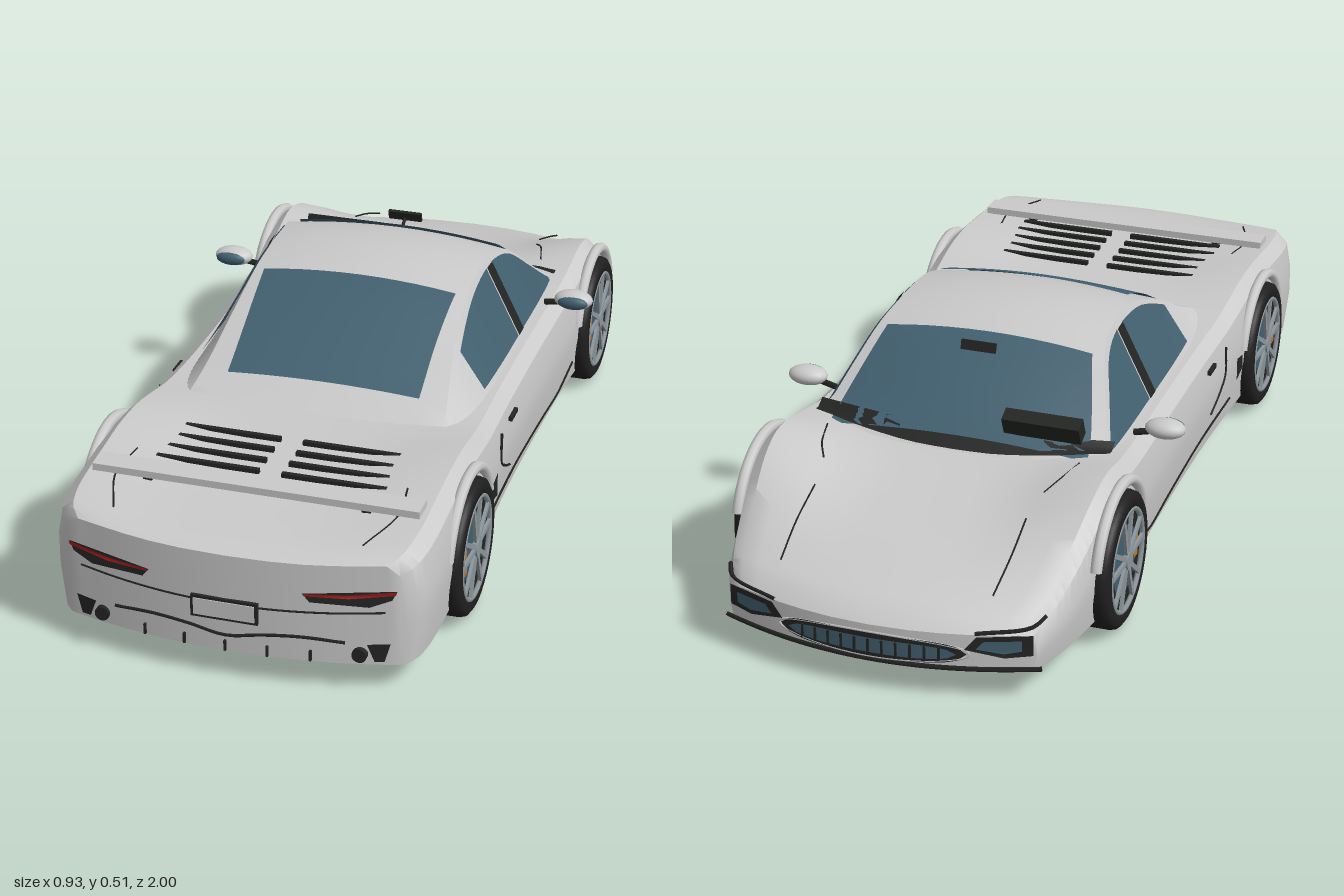
import * as THREE from 'three';
import { mergeGeometries, toCreasedNormals } from 'three/addons/utils/BufferGeometryUtils.js';

const mat = (name, color, side = THREE.FrontSide) =>
  Object.assign(new THREE.MeshStandardMaterial({ color, side }), { name });

// Stations along z: [z, half width, shoulder height, centre height, bow of the ends]
const BODY = [
  [-1, .34, .15, .15, .07], [-.97, .355, .175, .178, .07], [-.9, .375, .207, .205, .06],
  [-.8, .393, .26, .238, .045], [-.7, .405, .312, .266, .025], [-.62, .41, .338, .285, .01],
  [-.55, .41, .343, .3, 0], [-.46, .407, .327, .308, 0], [-.35, .4, .31, .31, 0],
  [-.1, .394, .305, .31, 0], [.15, .394, .305, .31, 0], [.33, .4, .312, .314, 0],
  [.42, .405, .327, .316, 0], [.5, .408, .34, .317, 0], [.6, .41, .343, .317, 0],
  [.7, .41, .335, .317, 0], [.8, .41, .326, .312, -.01], [.88, .406, .32, .308, -.025],
  [.95, .393, .31, .302, -.045], [.985, .37, .298, .292, -.055]];
// [z, centre height, roof edge height, roof edge half width]
const CABIN = [
  [-.5, .303, .295, .335], [-.42, .368, .33, .322], [-.33, .433, .4, .293], [-.25, .484, .462, .265],
  [-.17, .505, .485, .251], [-.08, .51, .489, .248], [.02, .497, .477, .25], [.1, .47, .45, .255],
  [.2, .42, .405, .265], [.3, .365, .35, .28], [.41, .306, .3, .3]];
const FLOOR = .065;
const U = [0, .25, .45, .62, .78, .9, .97, 1];
const K = [0, 0, .1, .45, .85, 1];

// Smooth interpolation between stations
function sample(table, z) {
  let i = 0;
  while (i < table.length - 2 && z > table[i + 1][0]) i++;
  const a = table[i], b = table[i + 1], p = table[i - 1] || a, n = table[i + 2] || b;
  const d = b[0] - a[0], t = THREE.MathUtils.clamp((z - a[0]) / d, 0, 1);
  return a.map((v, k) => {
    const m0 = (b[k] - p[k]) / (b[0] - p[0]) * d, m1 = (n[k] - v) / (n[0] - a[0]) * d;
    return v + t * m0 + t * t * (3 * (b[k] - v) - 2 * m0 - m1) + t * t * t * (2 * (v - b[k]) + m0 + m1);
  });
}

// Grid surface; columns toward +x and rows toward +z face up
function grid(cols, rows, f, closed = false) {
  const pos = [], idx = [], n = cols + (closed ? 0 : 1);
  for (let j = 0; j <= rows; j++) for (let i = 0; i < n; i++) pos.push(...f(i, j));
  for (let j = 0; j < rows; j++) for (let i = 0; i < cols; i++) {
    const a = j * n + i, b = j * n + (i + 1) % n, c = b + n, d = a + n;
    idx.push(a, d, c, a, c, b);
  }
  const g = new THREE.BufferGeometry();
  g.setAttribute('position', new THREE.Float32BufferAttribute(pos, 3));
  g.setIndex(idx);
  g.computeVertexNormals();
  return g;
}

// Body section: index -7..7 across, on the top or the underside
function bodyPoint(k, under, station) {
  const [z, w, ys, yc, bow] = station, a = Math.abs(k), h = ys - FLOOR, u = U[a] * Math.sign(k);
  let y = a < 6 ? yc + (ys - yc) * K[a] : ys - h * (a === 6 ? .1 : .35);
  if (under) y = a === 7 ? FLOOR + .4 * h : FLOOR;
  return [u * w, y, z + bow * u * u];
}
function bodyTop(x, z) {
  const [, w, ys, yc] = sample(BODY, z), u = Math.min(Math.abs(x) / w, .89);
  const i = U.findIndex((v) => v > u), t = (u - U[i - 1]) / (U[i] - U[i - 1]);
  return yc + (ys - yc) * (K[i - 1] + (K[i] - K[i - 1]) * t);
}
const bodySide = (y, z) => sample(BODY, z)[1] * (y < .16 ? .97 + .03 * (y - FLOOR) / .095 : 1);
const cabinTop = (x, z) => {
  const [, yc, yk, xk] = sample(CABIN, z);
  return yk + (yc - yk) * (1 - (x / xk) ** 2);
};
const tailZ = (x) => .985 - .4 * x * x;
const noseZ = (x) => -1 + .6 * x * x;

export function createModel() {
  const car = new THREE.Group();
  car.name = 'sportsCar';
  const paint = mat('silverPaint', 0xcacaca), glass = mat('tintedGlass', 0x426070, THREE.DoubleSide);
  const dark = mat('blackTrim', 0x232523, THREE.DoubleSide), rubber = mat('rubber', 0x202020);
  const alloy = mat('alloy', 0x8d979c), red = mat('redLamp', 0xa01c1c, THREE.DoubleSide);
  const orange = mat('orangeCaliper', 0xc47a24);

  const add = (name, geo, m, parent = car, p = [0, 0, 0]) => {
    const mesh = new THREE.Mesh(geo, m);
    mesh.name = name;
    mesh.position.set(...p);
    parent.add(mesh);
    return mesh;
  };
  const box = (name, s, p, m, parent) => add(name, new THREE.BoxGeometry(...s), m, parent, p);
  const line = (name, pts, r = .003, m = dark) => add(name, new THREE.TubeGeometry(
    new THREE.CatmullRomCurve3(pts.map((p) => new THREE.Vector3(...p))), pts.length * 4, r, 4), m);
  // Flat outline laid on a curved end of the body
  const plate = (name, pts, zAt, off, m) => {
    const g = new THREE.ShapeGeometry(new THREE.Shape(pts.map((p) => new THREE.Vector2(...p))));
    const a = g.attributes.position;
    for (let i = 0; i < a.count; i++) a.setZ(i, zAt(a.getX(i)) + off);
    g.computeVertexNormals();
    add(name, g, m);
  };

  // Body shell with both end caps
  const rows = 70, first = BODY[0], last = BODY[BODY.length - 1];
  const shell = grid(30, rows, (i, j) => bodyPoint(i < 15 ? i - 7 : 22 - i, i >= 15,
    sample(BODY, -1 + 1.985 * j / rows)), true);
  const tail = grid(14, 1, (i, j) => bodyPoint(i - 7, j === 1, last));
  const nose = grid(14, 1, (i, j) => bodyPoint(i - 7, j === 0, first));
  add('body', toCreasedNormals(mergeGeometries([shell, tail, nose]), .6), paint);

  // Cabin shell
  add('cabin', toCreasedNormals(grid(12, 44, (i, j) => {
    const z = -.5 + .91 * j / 44, [, , , xk] = sample(CABIN, z);
    if (i === 0 || i === 12) return [(i ? 1 : -1) * .35, .285, z];
    const x = xk * (i - 6) / 5;
    return [x, cabinTop(x, z), z];
  }), .5), paint);

  // Windscreen and rear window
  const topGlass = (name, z0, z1, u0, u1) => add(name, grid(10, 12, (i, j) => {
    const t = j / 12, z = z0 + (z1 - z0) * t;
    const x = (i / 5 - 1) * (u0 + (u1 - u0) * t) * sample(CABIN, z)[3];
    return [x, cabinTop(x, z) + .005, z + (z < -.2 ? -.003 : .002)];
  }), glass);
  topGlass('windscreen', -.47, -.255, .9, .9);
  topGlass('rearWindow', .045, .32, .9, .78);

  // Black cowl below the windscreen
  add('cowl', grid(16, 3, (i, j) => {
    const u = i / 8 - 1, x = u * .34, z = -.5 + .055 * u * u + j * .013;
    return [x, Math.max(cabinTop(x, z), bodyTop(x, z)) + .007, z];
  }), dark);

  for (const s of [-1, 1]) {
    const side = s > 0 ? 'left' : 'right';
    // Side windows and door pillar
    const sideGlass = (name, z0, z1, m, off) => add(name, grid(12, 2, (i, j) => {
      const z = z0 + (z1 - z0) * i / 12, [, , yk, xk] = sample(CABIN, z);
      const y = .318 + (Math.max(yk - .012, .319) - .318) * j / 2;
      return [s * (.35 + (xk - .35) * (y - .285) / (yk - .285) + off), y + off / 2, z];
    }), m);
    sideGlass(side + 'FrontWindow', -.41, -.14, glass, .004);
    sideGlass(side + 'DoorPillar', -.14, -.1, dark, .006);
    sideGlass(side + 'RearWindow', -.1, .18, glass, .004);

    // Door mirror
    const shape = new THREE.SphereGeometry(1, 20, 12);
    add(side + 'Mirror', shape, paint, car, [s * .42, .333, -.295]).scale.set(.046, .022, .032);
    add(side + 'MirrorGlass', shape, glass, car, [s * .422, .333, -.275]).scale.set(.036, .016, .014);
    line(side + 'MirrorStalk', [[s * .35, .315, -.3], [s * .4, .325, -.295]], .008);

    // Door seam, skirt seam, handle and side vent
    const flank = (y, z) => [s * (bodySide(y, z) + .001), y, z];
    line(side + 'DoorSeam', [flank(.27, .28), flank(.2, .28), flank(.17, .24), flank(.14, .18)]);
    line(side + 'SkirtSeam', [flank(.11, .34), flank(.1, .1), flank(.088, -.15), flank(.085, -.3), flank(.115, -.4)]);
    box(side + 'Handle', [.008, .01, .05], [s * .396, .262, .17], dark);
    add(side + 'SideVent', grid(1, 1, (i, j) => [s * .409, .2 - .035 * i + j * .01 * (1 - 2 * i), .4 - .05 * j]), dark);

    // Hood and rear deck seams
    const over = (x, z) => [s * x, bodyTop(x, z) + .001, z];
    line(side + 'HoodSeam', [over(.235, -.9), over(.24, -.8), over(.238, -.7)], .002);
    line(side + 'FenderSeam', [over(.25, -.62), over(.27, -.58), over(.29, -.5)], .002);
    line(side + 'DeckSeam', [over(.3, .68), over(.31, .78), over(.27, .9)], .002);

    // Engine louvres
    for (let i = 0; i < 5; i++)
      box(side + 'Louvre', [.23, .014, .011], [s * .14, .32, .535 + i * .049], dark);

    // Tail lamp, exhaust and corner vent
    const lamp = (pts) => pts.map(([x, y]) => [s * x, y]);
    plate(side + 'TailLamp', lamp([[.165, .228], [.18, .209], [.3, .204], [.345, .222], [.355, .243]]), tailZ, .006, dark);
    plate(side + 'TailLampStrip', lamp([[.168, .229], [.17, .224], [.26, .224], [.353, .235], [.355, .243], [.26, .233]]), tailZ, .009, red);
    plate(side + 'RearVent', lamp([[.295, .115], [.31, .075], [.33, .075], [.342, .118]]), tailZ, .005, dark);
    add(side + 'Exhaust', new THREE.CylinderGeometry(.016, .016, .02, 18).rotateX(Math.PI / 2), dark, car, [s * .28, .09, tailZ(.28)]);

    // Headlamp
    plate(side + 'HeadlampHousing', lamp([[.2, .118], [.225, .148], [.335, .152], [.335, .105], [.28, .1]]), noseZ, -.006, dark);
    plate(side + 'HeadlampLens', lamp([[.225, .122], [.24, .14], [.315, .142], [.315, .118], [.28, .112]]), noseZ, -.01, glass);
    line(side + 'HeadlampBrow', [[s * .22, .153, noseZ(.22)], [s * .33, .168, noseZ(.33)], [s * .35, .18, -.9]], .005);

    // Wheels with fender lips
    for (const z of [-.575, .575]) {
      const end = z < 0 ? 'Front' : 'Rear', wheel = new THREE.Group();
      wheel.name = side + end + 'Wheel';
      wheel.position.set(s * .365, .152, z);
      if (s < 0) wheel.rotation.y = Math.PI;
      car.add(wheel);
      const tyre = [[.1, -.055], [.138, -.055], [.149, -.046], [.152, -.035], [.152, .04], [.149, .053], [.139, .06], [.118, .06], [.114, .05]];
      add('tyre', new THREE.LatheGeometry(tyre.map((p) => new THREE.Vector2(...p)), 40).rotateZ(-Math.PI / 2), rubber, wheel);
      const disc = (name, r, w, x, m) => add(name, new THREE.CylinderGeometry(r, r, w, 32).rotateZ(Math.PI / 2), m, wheel, [x, 0, 0]);
      disc('wheelWell', .117, .1, 0, dark);
      disc('brakeDisc', .078, .004, .05, glass);
      disc('hub', .02, .012, .058, alloy);
      add('rim', new THREE.TorusGeometry(.113, .006, 6, 40).rotateY(Math.PI / 2), alloy, wheel, [.056, 0, 0]);
      for (let i = 0; i < 10; i++) {
        const spoke = new THREE.BoxGeometry(.007, .1, .011).translate(.057, .063, 0);
        add('spoke', spoke.rotateX((Math.floor(i / 2) + (i % 2 ? .2 : -.2)) * Math.PI * .4), alloy, wheel);
      }
      box('caliper', [.008, .055, .022], [.05, 0, s * .075], orange, wheel);
      const lip = new THREE.TorusGeometry(.172, .013, 8, 28, Math.PI * .8).rotateZ(Math.PI * .1).rotateY(Math.PI / 2);
      add(side + end + 'FenderLip', lip, paint, car, [s * .404, .152, z]);
    }
  }

  // Rear spoiler on two posts
  box('spoiler', [.715, .016, .055], [0, .338, .765], paint);
  for (const s of [-1, 1]) box('spoilerPost', [.02, .03, .03], [s * .24, .322, .765], dark);

  // Rear bumper seams, fins and number plate
  const across = (xs, f, zAt) => xs.map((x) => [x, f(x), zAt(x)]);
  const wide = [-.33, -.25, -.16, -.08, 0, .08, .16, .25, .33];
  line('bumperSeam', across(wide, (x) => .178 + .1 * x * x, tailZ), .0025);
  line('diffuserSeam', across(wide.slice(1, 8), (x) => .103 + .018 * Math.sin(Math.min(Math.abs(x) / .16, 1.6) * Math.PI / 2), tailZ), .004);
  for (let i = -2; i <= 2; i++) box('diffuserFin', [.005, .024, .012], [i * .09, .08, tailZ(i * .09)], dark);
  box('plateFrame', [.145, .05, .008], [0, .166, .987], dark);
  box('numberPlate', [.132, .038, .006], [0, .166, .99], paint);

  // Grille and front splitter
  const oval = (w, h) => Array.from({ length: 28 }, (_, i) => {
    const a = i / 14 * Math.PI;
    return [w * Math.cos(a), .106 + h * Math.sin(a)];
  });
  const band = (name, w, h, off, m) => add(name, grid(20, 1, (i, j) => {
    const u = i / 10 - 1, x = u * w;
    return [x, .106 + (j ? 1 : -1) * h * Math.sqrt(1 - u ** 4), noseZ(x) + off];
  }), m);
  band('grilleFrame', .205, .027, -.004, dark);
  band('grilleMesh', .185, .017, -.007, glass);
  for (let i = -5; i <= 5; i++) box('grilleBar', [.005, .03, .004], [i * .03, .106, noseZ(i * .03) - .008], dark);
  line('grilleSurround', [...oval(.21, .028), oval(.21, .028)[0]].map(([x, y]) => [x, y, noseZ(x) - .002]), .003, paint);
  line('splitter', across([-.35, ...wide, .35], () => .07, noseZ), .006);

  // Dash cluster and interior mirror at the windscreen
  box('dashCluster', [.175, .045, .035], [-.19, .372, -.445], dark).rotation.x = -.4;
  line('mirrorArm', [[0, .455, -.29], [0, .475, -.325]], .004);
  box('interiorMirror', [.08, .022, .008], [0, .48, -.325], dark).rotation.x = .3;
  return car;
}
